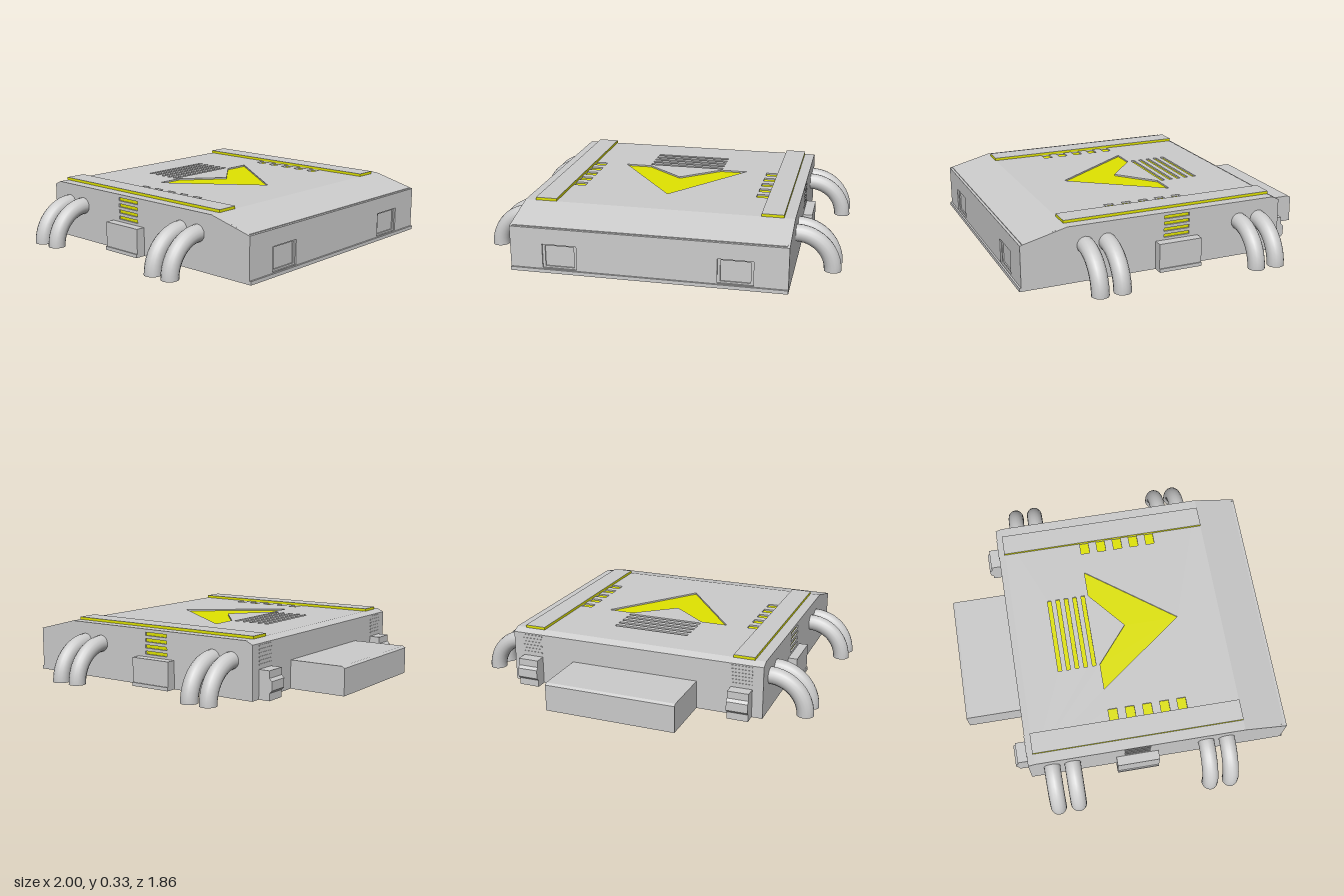
import * as THREE from 'three';

const grey = new THREE.MeshStandardMaterial({ color: 0xcccccc });
const yellow = new THREE.MeshStandardMaterial({ color: 0xe0e400 });

const toPoints = (pts) => pts.map(([x, y]) => new THREE.Vector2(x, y));
const rect = (x0, x1, y0, y1) => [[x0, y0], [x1, y0], [x1, y1], [x0, y1]];

// Flat outline with optional holes, extruded along +z
function slab(outline, depth, holes = []) {
  const shape = new THREE.Shape(toPoints(outline));
  for (const h of holes) shape.holes.push(new THREE.Path(toPoints(h)));
  return new THREE.ExtrudeGeometry(shape, { depth, bevelEnabled: false });
}
// Outline in (z, y), spanning x0..x1
const alongX = (outline, x0, x1, holes) =>
  slab(outline, x1 - x0, holes).rotateY(-Math.PI / 2).translate(x1, 0, 0);
// Outline in (x, z), spanning y0..y1
const alongY = (outline, y0, y1, holes) =>
  slab(outline, y1 - y0, holes).rotateX(Math.PI / 2).translate(0, y1, 0);

export function createModel() {
  const model = new THREE.Group();
  const add = (name, geometry, material = grey) => {
    const mesh = new THREE.Mesh(geometry, material);
    mesh.name = name;
    model.add(mesh);
    return mesh;
  };
  const box = (name, x0, x1, y0, y1, z0, z1, material) =>
    add(name, new THREE.BoxGeometry(x1 - x0, y1 - y0, z1 - z0)
      .translate((x0 + x1) / 2, (y0 + y1) / 2, (z0 + z1) / 2), material);

  const top = 0.315, floor = 0.303, half = 0.75, inner = 0.738;

  // Hull core, lowered where the recessed panels sit
  add('hullCore', alongX([
    [-0.6, 0], [0.9, 0], [0.9, 0.254], [0.66, top], [0.66, floor],
    [-0.56, floor], [-0.56, top], [-0.6, 0.295],
  ], -inner, inner));
  box('frontLip', -half, half, 0, 0.02, 0.9, 0.925);

  // Top panel with chevron, slots and square markers cut into it
  const chevron = [[-0.375, -0.1], [-0.22, -0.1], [0, 0.085], [0.22, -0.1], [0.375, -0.1], [0, 0.405]];
  const markings = [chevron];
  for (let i = 0; i < 5; i++) {
    const zs = -0.338 + i * 0.051;
    markings.push(rect(-0.225, 0.225, zs - 0.011, zs + 0.011));
    const zm = -0.073 + i * 0.101;
    for (const s of [-1, 1]) markings.push(rect(s * 0.535 - 0.035, s * 0.535 + 0.035, zm - 0.026, zm + 0.026));
  }
  add('topPanel', alongY(rect(-inner, inner, -0.56, 0.66), floor, top, markings));
  for (const m of markings) add('topMarking', alongY(m, floor - 0.005, floor + 0.003), yellow);

  // Front panel with two framed windows
  const windows = [-1, 1].map((s) => rect(s * 0.475 - 0.095, s * 0.475 + 0.095, 0.025, 0.16));
  add('frontPanel', slab(rect(-inner, inner, 0, 0.25), 0.015, windows).translate(0, 0, 0.9));
  for (const s of [-1, 1]) {
    const c = s * 0.475;
    add('windowFrame', slab(rect(c - 0.095, c + 0.095, 0.025, 0.16), 0.007,
      [rect(c - 0.08, c + 0.08, 0.035, 0.152)]).translate(0, 0, 0.9));
  }

  // Rear platform with a slightly eased edge
  add('rearPlatform', alongX(
    [[-0.93, 0], [-0.6, 0], [-0.6, 0.16], [-0.915, 0.16], [-0.93, 0.15]], -0.375, 0.375));

  const sideProfile = [[-0.6, 0], [0.915, 0], [0.915, 0.25], [0.66, top], [-0.56, top], [-0.6, 0.295]];
  const vents = [0.183, 0.218, 0.253, 0.288].map((y) => rect(-0.04, 0.11, y - 0.009, y + 0.009));
  const clip = [
    [-0.6, 0], [-0.6, 0.16], [-0.665, 0.16], [-0.665, 0.12], [-0.68, 0.105],
    [-0.68, 0.055], [-0.665, 0.04], [-0.665, 0],
  ];
  const hoseR = 0.2025, tubeR = 0.0475;

  for (const s of [-1, 1]) {
    const span = (a, b) => (s > 0 ? [a, b] : [-b, -a]);

    // Side wall with yellow vents
    add('sideWall', alongX(sideProfile, ...span(inner, half), vents));
    for (const v of vents) add('sideVent', alongX(v, ...span(inner - 0.005, inner + 0.003)), yellow);

    // Side housing and its foot
    box('sideHousing', ...span(half, 0.803), 0, 0.16, -0.09, 0.16);
    box('sideHousingFoot', ...span(half, 0.81), 0, 0.02, -0.09, 0.16);

    // Top rail: yellow strip under a grey cap
    box('railStrip', ...span(0.57, 0.69), top, 0.329, -0.565, 0.66, yellow);
    box('railCap', ...span(0.57, 0.69), 0.329, 0.3305, -0.565, 0.66);

    // Rear clip with thin ribs above it
    add('rearClip', alongX(clip, ...span(0.57, 0.69)));
    for (let i = 0; i < 6; i++) {
      const y = 0.18 + i * 0.02;
      box('rearRib', ...span(0.57, 0.69), y, y + 0.007, -0.603, -0.6);
    }

    // Curved hoses in pairs, closed at the lower end
    for (const z of [-0.468, -0.348, 0.44, 0.562]) {
      const hose = new THREE.Group();
      hose.name = 'hose';
      const bend = new THREE.Mesh(new THREE.TorusGeometry(hoseR, tubeR, 16, 12, Math.PI / 2), grey);
      bend.name = 'hoseBend';
      const end = new THREE.Mesh(
        new THREE.CircleGeometry(tubeR, 16).rotateX(Math.PI / 2).translate(hoseR, 0, 0), grey);
      end.name = 'hoseEnd';
      hose.add(bend, end);
      hose.position.set(s * half, 0, z);
      if (s < 0) hose.rotation.y = Math.PI;
      model.add(hose);
    }
  }
  return model;
}
